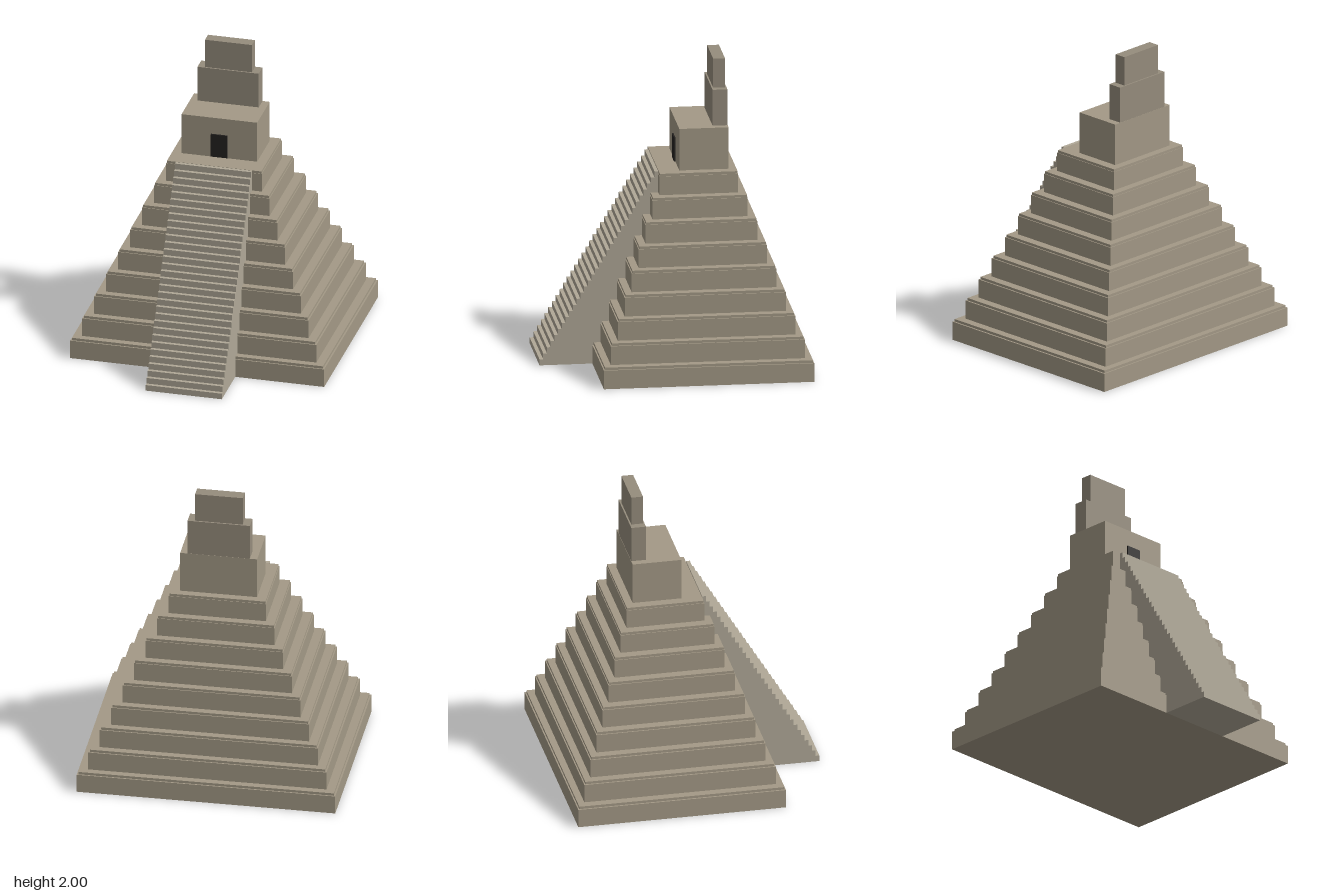
import * as THREE from 'three';

const material = (color) => new THREE.MeshStandardMaterial({ color, flatShading: true });

export function createModel() {
  const model = new THREE.Group();
  model.name = 'steppedPyramid';
  const stone = material(0xa39986);
  const stairStone = material(0xb0a897);
  const combStone = material(0x968d7d);
  const dark = material(0x242220);

  // Box standing on y0, centred on x = 0 and the given z
  function block(name, w, h, d, y0, z, mat, parent = model) {
    const mesh = new THREE.Mesh(new THREE.BoxGeometry(w, h, d), mat);
    mesh.name = name;
    mesh.position.set(0, y0 + h / 2, z);
    parent.add(mesh);
  }

  // Nine terraces, each with a slightly inset cap course
  const tiers = 9, top = 1.282, tierH = top / tiers, capH = 0.017, centreZ = -0.172;
  const terraces = new THREE.Group();
  terraces.name = 'terraces';
  model.add(terraces);
  for (let i = 0; i < tiers; i++) {
    const w = 1.7 - i * 0.1325;
    const d = 1.374 - i * 0.1075;
    block('terrace', w, tierH - capH, d, i * tierH, centreZ, stone, terraces);
    block('terraceCap', w * 0.987, capH, d * 0.987, (i + 1) * tierH - capH, centreZ, stone, terraces);
  }

  // Front stairway: stepped side profile extruded across the width
  const steps = 32, rise = top / steps, zFoot = 0.86, zHead = 0.085;
  const run = (zFoot - zHead) / steps;
  const profile = new THREE.Shape();
  profile.moveTo(zHead, 0);
  profile.lineTo(zFoot, 0);
  for (let i = 0; i < steps; i++) {
    profile.lineTo(zFoot - i * run, (i + 1) * rise);
    profile.lineTo(zFoot - (i + 1) * run, (i + 1) * rise);
  }
  const stairGeometry = new THREE.ExtrudeGeometry(profile, { depth: 0.51, bevelEnabled: false });
  stairGeometry.rotateY(-Math.PI / 2).translate(0.255, 0, 0);
  const stairs = new THREE.Mesh(stairGeometry, stairStone);
  stairs.name = 'stairway';
  model.add(stairs);

  // Temple, doorway and two-stage roof comb
  block('temple', 0.506, 0.28, 0.322, top, -0.214, stone);
  block('doorway', 0.11, 0.16, 0.014, 1.286, -0.05, dark);
  block('roofCombLower', 0.41, 0.242, 0.097, 1.562, -0.325, combStone);
  block('roofCombUpper', 0.314, 0.196, 0.077, 1.804, -0.325, combStone);

  return model;
}
